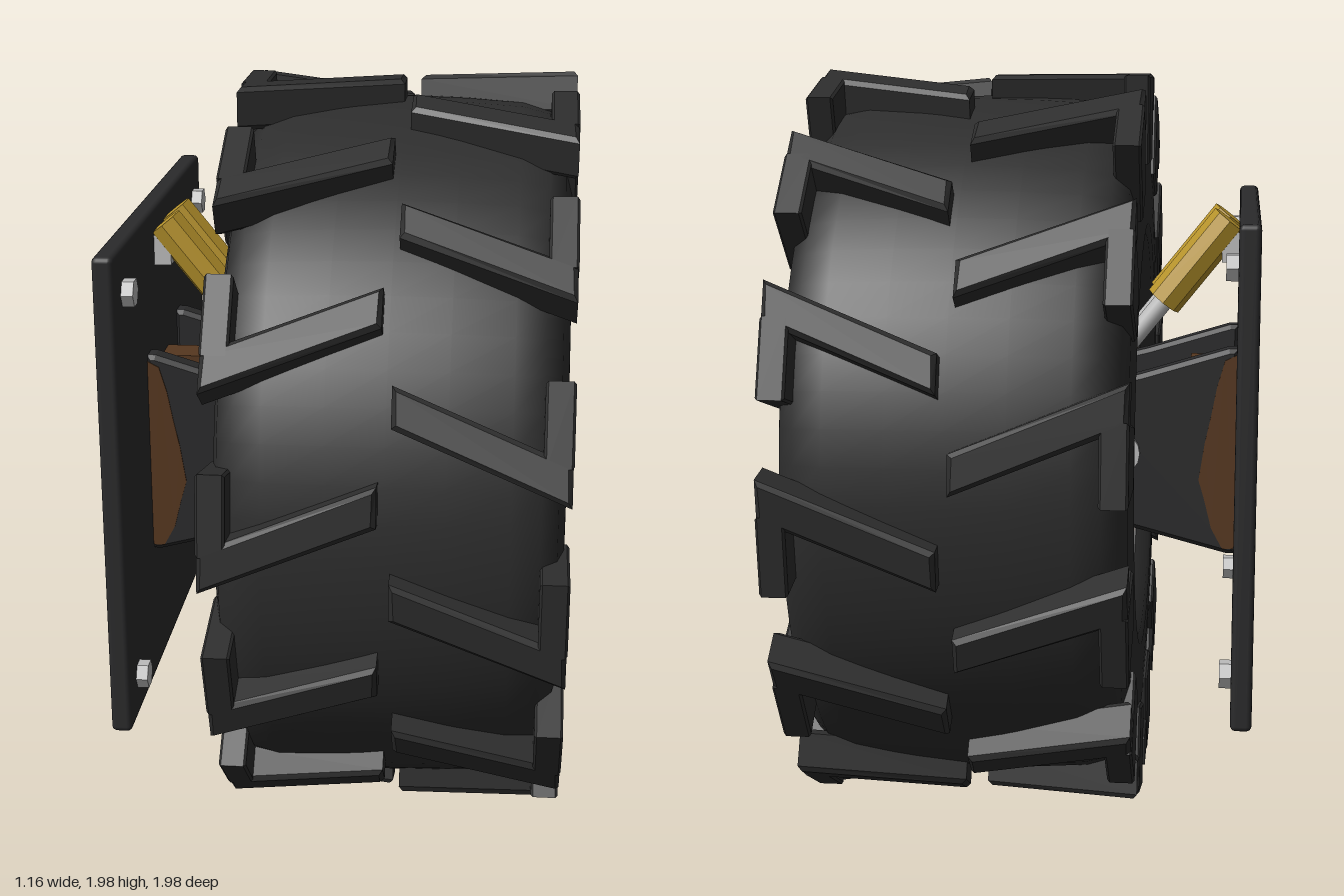
import * as THREE from 'three';
import { toCreasedNormals } from 'three/addons/utils/BufferGeometryUtils.js';
import { RoundedBoxGeometry } from 'three/addons/geometries/RoundedBoxGeometry.js';

const paint = (name, color, side = THREE.FrontSide) => {
  const m = new THREE.MeshStandardMaterial({ color, side });
  m.name = name;
  return m;
};

export function createModel() {
  const rubber = paint('black rubber', 0x2d2d2d);
  const blackSteel = paint('black steel', 0x2a2a2b);
  const yellow = paint('yellow paint', 0xb8942c);
  const rust = paint('rusty brown', 0x56371f, THREE.DoubleSide);
  const steel = paint('bright steel', 0xbcbcbc);
  const grey = paint('grey rim', 0x7c7a7e, THREE.DoubleSide);
  const axleDark = paint('dark axle', 0x2c3236);

  const model = new THREE.Group();
  model.name = 'wheelAssembly';
  const wheel = new THREE.Group();
  wheel.name = 'wheel';
  wheel.position.y = 1;
  model.add(wheel);

  const add = (parent, name, geo, mat) => {
    const mesh = new THREE.Mesh(geo, mat);
    mesh.name = name;
    parent.add(mesh);
    return mesh;
  };
  // Profile points are [radius, x], spun about the x axis
  const lathe = (pts, seg = 64) =>
    new THREE.LatheGeometry(pts.map(p => new THREE.Vector2(...p)), seg).rotateZ(-Math.PI / 2);
  // Cylinder along x
  const rodX = (r, x0, x1, seg = 24) =>
    toCreasedNormals(new THREE.CylinderGeometry(r, r, x1 - x0, seg).rotateZ(-Math.PI / 2), 0.6)
      .translate((x0 + x1) / 2, 0, 0);
  const shapeOf = pts => new THREE.Shape(pts.map(p => new THREE.Vector2(...p)));
  const extrude = (shape, depth, bevel = 0) => new THREE.ExtrudeGeometry(shape, {
    depth: depth - 2 * bevel, bevelEnabled: bevel > 0, bevelSize: bevel, bevelThickness: bevel,
    bevelOffset: -bevel, bevelSegments: 1, curveSegments: 24,
  }).translate(0, 0, bevel);
  const polar = (n, radius) => Array.from({ length: n }, (_, i) => {
    const a = i / n * Math.PI * 2, r = typeof radius === 'function' ? radius(a) : radius;
    return [r * Math.cos(a), r * Math.sin(a)];
  });
  // Shape facing +x, from x0 to x1
  const faceX = (shape, x0, x1, bevel = 0) =>
    extrude(shape, x1 - x0, bevel).rotateY(Math.PI / 2).translate(x0, 0, 0);

  // Tyre carcass
  add(wheel, 'tyre', lathe([
    [0.52, -0.24], [0.55, -0.275], [0.58, -0.282], [0.68, -0.28], [0.78, -0.277], [0.85, -0.26],
    [0.89, -0.22], [0.908, -0.15], [0.918, 0], [0.922, 0.145], [0.918, 0.29], [0.908, 0.44],
    [0.89, 0.51], [0.85, 0.55], [0.78, 0.567], [0.68, 0.57], [0.61, 0.56], [0.57, 0.53],
    [0.52, 0.5], [0.52, -0.24],
  ]), rubber);

  // Staggered tread: slanted bars with a shoulder block at each outer end
  const COUNT = 13;
  for (const side of [1, -1]) {
    const mx = x => 0.145 + side * (x - 0.145);
    const bar = extrude(shapeOf([
      [mx(0.16), -0.02], [mx(0.16), 0.08], [mx(0.578), -0.09], [mx(0.578), -0.19],
    ]), 0.11, 0.012).translate(0, 0, 0.868);
    const block = extrude(shapeOf([
      [0.745, -0.078], [0.978, -0.1], [0.978, 0.1], [0.745, 0.078],
    ]), 0.07, 0.006).rotateY(-Math.PI / 2).translate(side > 0 ? 0.58 : -0.22, 0, 0);
    for (let i = 0; i < COUNT; i++) {
      const phi = -side * Math.PI / 2 + i / COUNT * Math.PI * 2;
      add(wheel, 'treadBar', bar, rubber).rotation.x = -phi;
      add(wheel, 'shoulderBlock', block, rubber).rotation.x = -phi;
    }
  }

  // Rim bowl, barrel and back
  add(wheel, 'rimBowl', lathe([
    [0.59, 0.552], [0.56, 0.545], [0.47, 0.5], [0.44, 0.42], [0.38, 0.385], [0.25, 0.38], [0.04, 0.38],
  ]), rust);
  add(wheel, 'rimBarrel', lathe([[0.517, 0.4], [0.517, -0.235]]), rust);
  add(wheel, 'rimBack', lathe([[0.04, -0.13], [0.5, -0.13], [0.517, -0.15]]), grey);

  // Yellow clamp ring with inward teeth and bolts
  const ring = shapeOf(polar(20, 0.565));
  ring.holes.push(new THREE.Path(polar(16, 0.46).map(p => new THREE.Vector2(...p))));
  add(wheel, 'clampRing', faceX(ring, 0.52, 0.563), yellow);
  const tooth = extrude(shapeOf([[0.385, -0.068], [0.49, -0.056], [0.49, 0.056], [0.385, 0.068]]), 0.1, 0.006)
    .rotateY(-Math.PI / 2).translate(0.572, 0, 0);
  const ringBolt = rodX(0.03, 0.55, 0.58, 6).translate(0, 0, 0.55);
  for (let i = 0; i < 8; i++) {
    add(wheel, 'ringTooth', tooth, yellow).rotation.x = i * Math.PI / 4;
    add(wheel, 'ringBolt', ringBolt, steel).rotation.x = (i + 0.5) * Math.PI / 4;
  }

  // Lobed hub, nut and axle
  const lobes = shapeOf(polar(96, a => 0.236 + 0.036 * Math.cos(8 * a)));
  add(wheel, 'hubFlange', toCreasedNormals(faceX(lobes, 0.37, 0.45, 0.012), 0.5), rust);
  add(wheel, 'hubNut', rodX(0.115, 0.44, 0.51, 6).rotateX(Math.PI / 6), steel);
  add(wheel, 'axle', rodX(0.054, -0.25, 0.555), axleDark);

  // Mounting plate with corner bolts
  add(model, 'mountPlate', new RoundedBoxGeometry(0.054, 1.27, 1.27, 2, 0.014).translate(-0.557, 1.005, 0), blackSteel);
  for (const y of [-0.52, 0.52]) for (const z of [-0.52, 0.52]) {
    add(model, 'plateBolt', rodX(0.037, -0.535, -0.5, 6), steel).position.set(0, 1.005 + y, z);
  }

  // Tapered arms, each with a rusty patch beside the plate
  const arm = extrude(shapeOf([
    [-0.535, 0.73], [-0.51, 0.73], [-0.28, 0.79], [-0.12, 0.83], [-0.12, 1.17], [-0.28, 1.21], [-0.51, 1.28], [-0.535, 1.28],
  ]), 0.07, 0.012).translate(0, 0, -0.035);
  const patch = extrude(shapeOf([
    [-0.53, 0.745], [-0.5, 0.745], [-0.47, 0.8], [-0.45, 0.88], [-0.435, 0.93], [-0.45, 1.03],
    [-0.465, 1.1], [-0.48, 1.18], [-0.5, 1.25], [-0.53, 1.265],
  ]), 0.004).translate(0, 0, -0.002);
  for (const s of [1, -1]) {
    add(model, 'supportArm', arm, blackSteel).position.z = s * 0.22;
    add(model, 'rustPatch', patch, rust).position.z = s * 0.256;
  }
  add(model, 'armPin', toCreasedNormals(new THREE.CylinderGeometry(0.06, 0.06, 0.54, 16).rotateX(Math.PI / 2), 0.6), steel)
    .position.set(-0.22, 1, 0);
  add(model, 'centreBracket', new THREE.BoxGeometry(0.13, 0.4, 0.1), rust).position.set(-0.47, 1.02, 0);

  // Pair of hydraulic cylinders
  const start = new THREE.Vector3(-0.505, 1.6, 0);
  const dir = new THREE.Vector3(0.175, -0.22, 0).normalize();
  const strut = (r, from, to, seg) => {
    const g = toCreasedNormals(new THREE.CylinderGeometry(r, r, to - from, seg), 0.6);
    g.applyQuaternion(new THREE.Quaternion().setFromUnitVectors(new THREE.Vector3(0, 1, 0), dir));
    const c = start.clone().addScaledVector(dir, (from + to) / 2);
    return g.translate(c.x, c.y, 0);
  };
  const body = strut(0.05, 0, 0.28, 8), rod = strut(0.026, 0.27, 0.56, 12);
  for (const z of [-0.075, 0.075]) {
    add(model, 'hydraulicBody', body, yellow).position.z = z;
    add(model, 'hydraulicRod', rod, steel).position.z = z;
    add(model, 'hydraulicMount', new THREE.BoxGeometry(0.05, 0.08, 0.07), steel).position.set(-0.51, 1.53, z);
  }
  return model;
}
